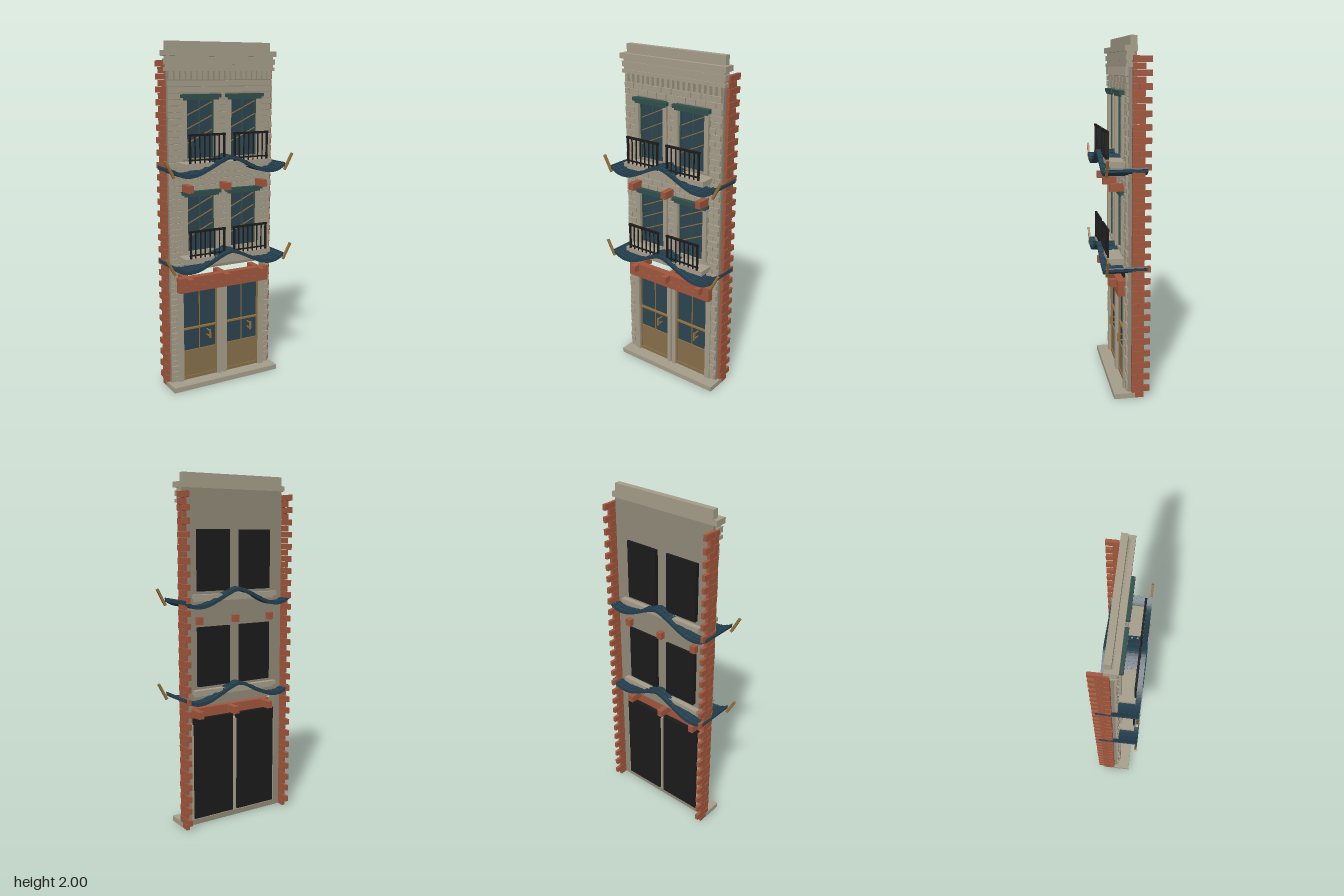
import * as THREE from 'three';
import { mergeGeometries } from 'three/addons/utils/BufferGeometryUtils.js';

const mat = (name, color) => {
  const m = new THREE.MeshStandardMaterial({ color });
  m.name = name;
  return m;
};

export function createModel() {
  const stone = mat('stone', 0xa59d8a);
  const mortar = mat('mortar', 0x918978);
  const brick = mat('brick', 0xa0563c);
  const slate = mat('slate', 0x24404f);
  const glass = mat('glass', 0x2c4450);
  const teal = mat('teal trim', 0x2f4f4b);
  const tan = mat('tan wood', 0x87704a);
  const gold = mat('golden wood', 0x96703a);
  const iron = mat('black iron', 0x1b1b1c);

  const model = new THREE.Group();
  model.name = 'townhouseFacade';

  // a box from its limits: x0, x1, y0, y1, z0, z1
  const box = ([x0, x1, y0, y1, z0, z1]) =>
    new THREE.BoxGeometry(x1 - x0, y1 - y0, z1 - z0).translate((x0 + x1) / 2, (y0 + y1) / 2, (z0 + z1) / 2);
  const add = (name, material, geos, parent = model) => {
    const mesh = new THREE.Mesh(mergeGeometries(geos), material);
    mesh.name = name;
    parent.add(mesh);
    return mesh;
  };
  const boxes = (name, material, list, parent) => add(name, material, list.map(box), parent);
  const mirror = (list) => list.concat(list.map(([a, b, ...r]) => [-b, -a, ...r]));
  const group = (name) => {
    const g = new THREE.Group();
    g.name = name;
    model.add(g);
    return g;
  };

  // openings: x0, x1, y0, y1
  const windows = [];
  for (const y of [0.82, 1.36]) for (const x of [-0.25, 0.03]) windows.push([x, x + 0.22, y, y + 0.34]);
  const openings = [...windows, [-0.29, 0.29, 0.03, 0.705]];

  // wall slab with openings
  const rect = (Type, x0, x1, y0, y1) => new Type([[x0, y0], [x1, y0], [x1, y1], [x0, y1]].map((p) => new THREE.Vector2(...p)));
  const wall = rect(THREE.Shape, -0.333, 0.333, 0, 1.95);
  wall.holes = openings.map((o) => rect(THREE.Path, ...o));
  add('wall', mortar, [new THREE.ExtrudeGeometry(wall, { depth: 0.044, bevelEnabled: false }).translate(0, 0, -0.044)]);

  // stone courses in running bond, cut around the openings
  const stones = [];
  const rowH = 0.0345, gap = 0.004;
  for (let r = 0; r < 51; r++) {
    const y0 = 0.034 + r * rowH, y1 = y0 + rowH - gap;
    const cuts = openings.filter((o) => o[3] > y0 + 0.008 && o[2] < y1 - 0.008).sort((a, b) => a[0] - b[0]);
    const spans = [];
    let left = -0.333;
    for (const c of cuts) {
      spans.push([left, c[0]]);
      left = c[1];
    }
    spans.push([left, 0.333]);
    for (const [a, b] of spans) {
      for (let k = -1; k < 12; k++) {
        const x0 = Math.max(a, -0.333 + k * 0.066 + (r % 2) * 0.033);
        const x1 = Math.min(b, -0.333 + (k + 1) * 0.066 + (r % 2) * 0.033 - gap);
        if (x1 - x0 > 0.008) stones.push([x0, x1, y0, y1, -0.002, 0.008 + ((r * 7 + k * 5) % 3) * 0.002]);
      }
    }
  }
  boxes('stoneBlocks', stone, stones);

  // toothed brick strips on both sides
  const bricks = [];
  const bh = 1.9 / 54;
  for (let r = 0; r < 54; r++) {
    const ends = r % 2 ? [-0.02, -0.055, -0.125] : [-0.02, -0.09];
    for (let i = 0; i + 1 < ends.length; i++) {
      const inset = (r + i) % 2 ? 0 : 0.003;
      bricks.push([0.333, 0.354 - inset, r * bh, (r + 1) * bh - 0.002, ends[i + 1] + 0.001, ends[i]]);
    }
  }
  boxes('sideBricks', brick, mirror(bricks));

  // base, cornice and parapet
  boxes('baseStep', stone, [[-0.352, 0.352, 0, 0.03, -0.04, 0.08]]);
  boxes('cornice', stone, [
    [-0.347, 0.347, 1.84, 1.86, -0.03, 0.016],
    [-0.338, 0.338, 1.86, 1.875, -0.03, 0.01],
    [-0.347, 0.347, 1.875, 1.905, -0.03, 0.016],
    [-0.338, 0.338, 1.905, 1.92, -0.03, 0.01],
    [-0.354, 0.354, 1.92, 1.95, -0.045, 0.024],
  ]);
  boxes('parapet', stone, [[-0.33, 0.33, 1.95, 2, -0.045, -0.01]]);
  const dentils = [];
  for (let i = 0; i < 19; i++) {
    const x = -0.315 + i * 0.035;
    dentils.push([x - 0.009, x + 0.009, 1.795, 1.842, 0, 0.018]);
  }
  boxes('corniceBrackets', stone, dentils);

  // windows
  for (const [x0, x1, y0, y1] of windows) {
    const g = group('window');
    const cx = (x0 + x1) / 2;
    boxes('windowGlass', glass, [[x0, x1, y0, y1, -0.02, -0.006]], g);
    boxes('windowBack', iron, [[x0 + 0.008, x1 - 0.008, y0, y1, -0.057, -0.02]], g);
    boxes('windowJambs', stone, [
      [x0 - 0.004, x0 + 0.022, y0, y1, -0.01, 0.024],
      [x1 - 0.022, x1 + 0.004, y0, y1, -0.01, 0.024],
    ], g);
    boxes('windowSash', teal, [
      [cx - 0.004, cx + 0.004, y0, y1, -0.01, 0],
      [x0 + 0.022, x0 + 0.029, y0, y1, -0.01, 0.004],
      [x1 - 0.029, x1 - 0.022, y0, y1, -0.01, 0.004],
    ], g);
    boxes('windowLintel', teal, [
      [x0 - 0.012, x1 + 0.012, y1 - 0.004, y1 + 0.016, -0.01, 0.035],
      [x0, x1, y1 - 0.016, y1 - 0.004, -0.01, 0.028],
    ], g);
    // slanted golden bars on the glass
    const bars = [0.12, 0.2, 0.275].map((h) =>
      new THREE.BoxGeometry(0.185, 0.005, 0.005).rotateZ(0.43).translate(cx, y0 + h, -0.002));
    add('slantedBars', gold, bars, g);
  }

  // balconies: shared slab and two railings on each floor
  for (const y of [0.815, 1.355]) {
    const g = group('balcony');
    boxes('balconySlab', stone, [
      [-0.28, 0.28, y - 0.035, y - 0.012, -0.075, 0.1],
      [-0.27, 0.27, y - 0.05, y - 0.035, -0.06, 0.085],
    ], g);
    const rail = [[0.026, 0.255, y + 0.137, y + 0.149, 0.09, 0.102], [0.026, 0.255, y + 0.002, y + 0.01, 0.092, 0.1]];
    for (let i = 0; i < 8; i++) {
      const x = 0.034 + i * 0.0304, w = i % 7 ? 0.003 : 0.005;
      rail.push([x - w, x + w, y - 0.012, y + 0.14, 0.096 - w, 0.096 + w]);
    }
    boxes('railings', iron, mirror(rail), g);
  }

  // sweeping tiled canopies
  const half = [[0, 0.098], [0.06, 0.08], [0.13, 0.046], [0.2, 0.016], [0.26, 0.006], [0.31, 0.013], [0.355, 0.036]];
  const points = half.slice(1).reverse().map(([x, y]) => [-x, y]).concat(half);
  const curve = new THREE.SplineCurve(points.map((p) => new THREE.Vector2(...p)));
  const line = curve.getPoints(48);
  const sweep = (low, high, z0, z1) => {
    const shape = new THREE.Shape([
      ...line.map((p) => new THREE.Vector2(p.x, p.y + low)),
      ...line.slice().reverse().map((p) => new THREE.Vector2(p.x, p.y + high)),
    ]);
    return new THREE.ExtrudeGeometry(shape, { depth: z1 - z0, bevelEnabled: false }).translate(0, 0, z0);
  };
  for (const y of [0.715, 1.26]) {
    const g = group('canopy');
    const parts = [sweep(0, 0.013, -0.105, 0.128)];
    for (let i = 0; i < 8; i++) {
      const z = -0.105 + i * 0.0304;
      parts.push(sweep(0.01, 0.02, z, z + 0.02));
    }
    add('canopyTiles', slate, parts, g).position.y = y;
    // raised seams across the tiles
    const seams = [];
    for (let i = 0; i <= 16; i++) {
      const t = i / 16, p = curve.getPoint(t), d = curve.getTangent(t);
      seams.push(new THREE.BoxGeometry(0.006, 0.008, 0.233).rotateZ(Math.atan2(d.y, d.x)).translate(p.x, p.y + 0.018, 0.0115));
    }
    add('canopySeams', slate, seams, g).position.y = y;
    const horns = [-1, 1].map((s) =>
      new THREE.BoxGeometry(0.014, 0.108, 0.013).rotateZ(-s * 0.5).translate(s * 0.383, y + 0.062, 0.1215));
    add('canopyHorns', gold, horns, g);
  }

  // brick beam ends and the beam over the doors
  const beamEnds = [];
  for (const y of [0.635, 1.176]) for (const x of [-0.24, 0, 0.24]) beamEnds.push([x - 0.017, x + 0.017, y, y + 0.042, -0.075, 0.09]);
  boxes('beamEnds', brick, beamEnds);
  boxes('doorBeam', brick, [[-0.298, 0.298, 0.59, 0.678, 0.008, 0.05]]);
  const notches = [];
  for (let i = 0; i < 10; i++) {
    const x = -0.25 + i * 0.0556;
    notches.push([x - 0.012, x + 0.012, 0.622 + (i % 2) * 0.012, 0.627 + (i % 2) * 0.012, 0.048, 0.052]);
  }
  boxes('beamNotches', tan, notches);

  // pair of doors
  const d = group('doors');
  boxes('doorJambs', stone, mirror([
    [0.006, 0.03, 0.03, 0.6, -0.045, 0.016],
    [0.258, 0.292, 0.03, 0.6, -0.045, 0.016],
  ]), d);
  boxes('doorBacks', iron, mirror([[0.016, 0.276, 0.04, 0.635, -0.057, -0.03]]), d);
  boxes('doorGlass', glass, mirror([[0.03, 0.258, 0.2, 0.6, -0.03, -0.012]]), d);
  boxes('doorPanels', tan, mirror([
    [0.03, 0.258, 0.05, 0.21, -0.03, -0.004],
    [0.03, 0.258, 0.03, 0.05, -0.03, 0.002],
    [0.03, 0.036, 0.05, 0.6, -0.03, 0.002],
    [0.252, 0.258, 0.05, 0.6, -0.03, 0.002],
  ]), d);
  boxes('doorBars', gold, mirror([
    [0.034, 0.254, 0.343, 0.353, -0.014, 0.002],
    [0.142, 0.146, 0.21, 0.6, -0.014, -0.006],
  ]), d);
  boxes('doorHandles', gold, [-0.092, 0.188].flatMap((x) => [
    [x - 0.004, x + 0.004, 0.278, 0.33, 0.024, 0.036],
    [x - 0.003, x + 0.003, 0.283, 0.289, -0.014, 0.026],
    [x - 0.003, x + 0.003, 0.319, 0.325, -0.014, 0.026],
  ]), d);

  return model;
}
